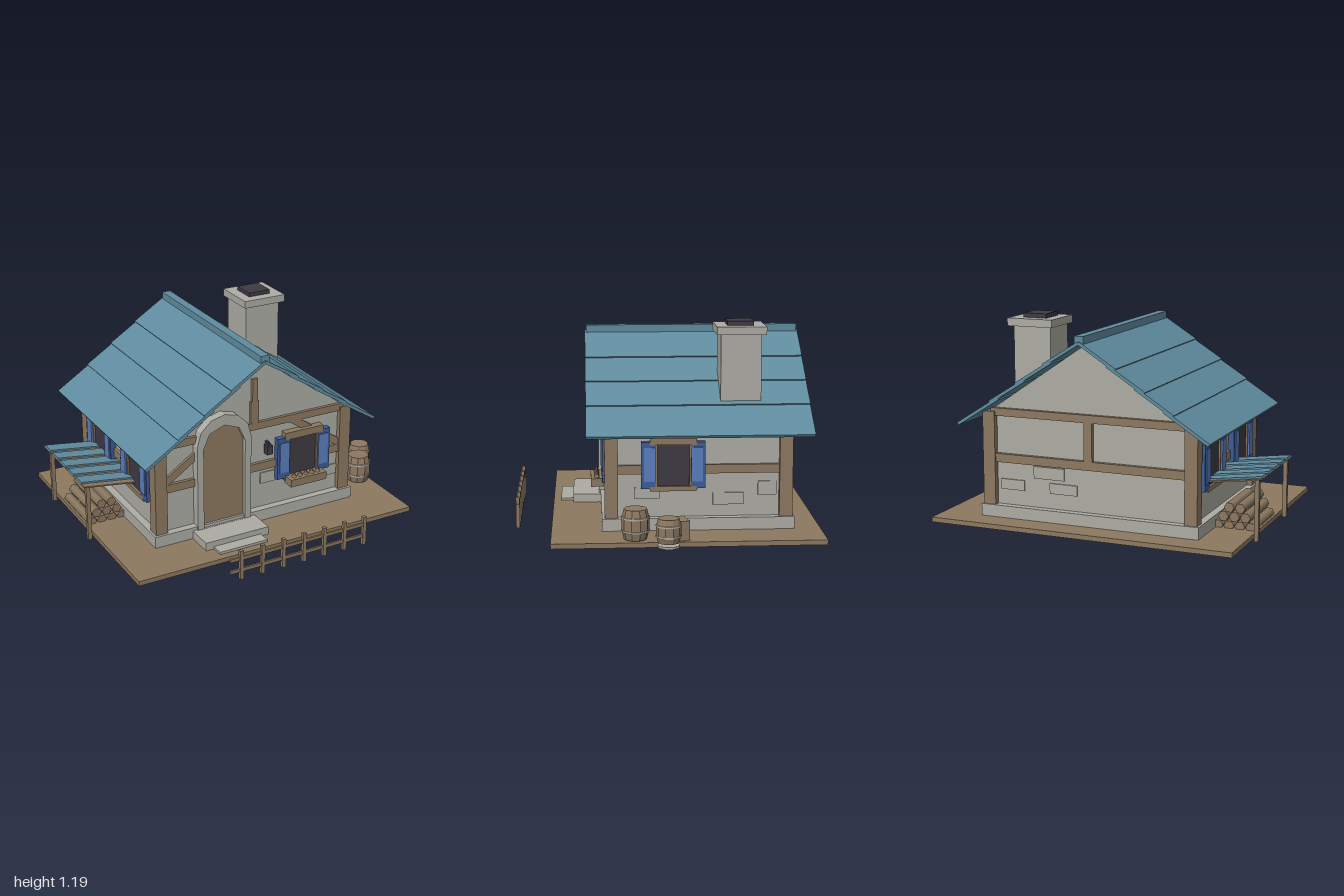
import * as THREE from 'three';

const mat = (name, color) => {
  const m = new THREE.MeshStandardMaterial({ color });
  m.name = name;
  return m;
};

export function createModel() {
  const wood = mat('wood', 0x8c7860), stone = mat('stone', 0xacaba3), tile = mat('roofBlue', 0x5f8b9e);
  const blue = mat('shutterBlue', 0x5a7dbd), navy = mat('shutterTrim', 0x3c5b97), dark = mat('darkGlass', 0x3d3a42);
  const model = new THREE.Group();
  model.name = 'cottage';
  const CX = -0.035, CZ = -0.175; // centre of the house

  const add = (name, geo, m, parent = model) => {
    const mesh = new THREE.Mesh(geo, m);
    mesh.name = name;
    parent.add(mesh);
    return mesh;
  };
  // box given by its limits on each axis
  const box = (name, m, x0, x1, y0, y1, z0, z1, parent) => {
    const b = add(name, new THREE.BoxGeometry(x1 - x0, y1 - y0, z1 - z0), m, parent);
    b.position.set((x0 + x1) / 2, (y0 + y1) / 2, (z0 + z1) / 2);
    return b;
  };
  // bar running between two points in the xy plane
  const bar = (name, m, x0, y0, x1, y1, thick, z0, z1, parent) => {
    const b = add(name, new THREE.BoxGeometry(Math.hypot(x1 - x0, y1 - y0), thick, z1 - z0), m, parent);
    b.position.set((x0 + x1) / 2, (y0 + y1) / 2, (z0 + z1) / 2);
    b.rotation.z = Math.atan2(y1 - y0, x1 - x0);
    return b;
  };
  const extrude = (shape, depth) => new THREE.ExtrudeGeometry(shape, { depth, bevelEnabled: false });

  // ground and foundation
  box('groundSlab', wood, -0.94, 0.875, 0.002, 0.03, -0.865, 0.655);
  box('foundation', stone, -0.70, 0.63, 0, 0.10, -0.715, 0.37);
  box('upperStep', stone, -0.46, -0.05, 0.03, 0.08, 0.36, 0.535);
  box('lowerStep', stone, -0.41, -0.10, 0.03, 0.045, 0.36, 0.61);

  // walls with gables
  const wallShape = new THREE.Shape([[-0.62, 0.08], [0.62, 0.08], [0.62, 0.645], [0, 1.07], [-0.62, 0.645]]
    .map(([x, y]) => new THREE.Vector2(x, y)));
  add('walls', extrude(wallShape, 0.995), stone).position.set(CX, 0, -0.67);

  // timber frame
  for (const x of [-0.687, 0.543]) for (const z of [-0.705, 0.28])
    box('cornerPost', wood, x, x + 0.075, 0.10, 0.645, z, z + 0.075);
  for (const [y0, y1] of [[0.35, 0.40], [0.62, 0.665]]) {
    for (const z of [-0.695, 0.315]) box('endBeam', wood, CX - 0.605, CX + 0.605, y0, y1, z, z + 0.03);
    for (const x of [-0.675, 0.575]) box('sideBeam', wood, x, x + 0.03, y0, Math.min(y1, 0.645), -0.64, 0.29);
  }
  box('kingPost', wood, -0.053, -0.018, 0.66, 0.94, 0.32, 0.345);
  box('kingPostFoot', wood, -0.062, -0.01, 0.66, 0.80, 0.32, 0.342);
  box('backStud', wood, -0.06, -0.01, 0.38, 0.64, -0.695, -0.66);
  for (const s of [-1, 1]) bar('brace', wood, CX + s * 0.59, 0.405, CX + s * 0.24, 0.64, 0.045, 0.32, 0.342);

  // raised stones in the walls
  for (const [x, y, w, h] of [[0.01, 0.255, 0.13, 0.07], [0.39, 0.2, 0.15, 0.065]])
    box('frontStone', stone, x, x + w, y, y + h, 0.32, 0.333);
  for (const [z, y, w, h] of [[0.045, 0.205, 0.145, 0.065], [-0.43, 0.167, 0.175, 0.068], [-0.615, 0.22, 0.105, 0.08]])
    box('sideStone', stone, 0.58, 0.593, y, y + h, z, z + w);
  for (const [x, y, w, h] of [[0.37, 0.19, 0.15, 0.06], [0.12, 0.27, 0.19, 0.07], [0.04, 0.19, 0.17, 0.06]])
    box('backStone', stone, x, x + w, y, y + h, -0.678, -0.66);

  // arched doorway
  const arch = (half, spring, top, n, bottom) => {
    const pts = [new THREE.Vector2(-half, bottom), new THREE.Vector2(half, bottom)];
    for (let i = 0; i <= n; i++) {
      const a = Math.PI * i / n;
      pts.push(new THREE.Vector2(half * Math.cos(a), spring + (top - spring) * Math.sin(a)));
    }
    return pts;
  };
  const doorFrame = new THREE.Shape(arch(0.175, 0.61, 0.78, 6, 0.08));
  doorFrame.holes.push(new THREE.Path(arch(0.135, 0.59, 0.715, 4, 0.081)));
  add('doorFrame', extrude(doorFrame, 0.07), stone).position.set(-0.255, 0, 0.31);
  add('door', extrude(new THREE.Shape(arch(0.136, 0.59, 0.717, 4, 0.08)), 0.045), wood).position.set(-0.255, 0, 0.31);

  // windows with shutters, facing +z before they are turned
  const makeWindow = (x, z, turn) => {
    const w = new THREE.Group();
    w.name = 'window';
    box('pane', dark, -0.09, 0.09, 0.28, 0.52, 0, 0.025, w);
    box('lintel', wood, -0.13, 0.13, 0.52, 0.565, 0, 0.045, w);
    box('sill', wood, -0.13, 0.13, 0.255, 0.282, 0, 0.04, w);
    for (const s of [-1, 1]) {
      const side = (name, m, a, b, y0, y1, z0, z1) =>
        box(name, m, Math.min(s * a, s * b), Math.max(s * a, s * b), y0, y1, z0, z1, w);
      side('jamb', wood, 0.09, 0.125, 0.27, 0.53, 0, 0.035);
      side('shutter', navy, 0.10, 0.18, 0.27, 0.535, 0.005, 0.04);
      side('shutterPanel', blue, 0.1, 0.165, 0.31, 0.505, 0.037, 0.046);
    }
    w.position.set(x, 0, z);
    w.rotation.y = turn;
    model.add(w);
  };
  makeWindow(0.287, 0.325, 0);
  makeWindow(0.585, -0.03, Math.PI / 2);
  for (const z of [-0.425, 0.075]) makeWindow(-0.655, z, -Math.PI / 2);

  // flower box
  box('flowerBox', wood, 0.165, 0.41, 0.235, 0.282, 0.355, 0.43);
  for (let i = 0; i < 5; i++)
    add('sprout', new THREE.ConeGeometry(0.018, 0.035, 5), wood).position.set(0.205 + i * 0.041, 0.298, 0.395);

  // wall lantern
  box('lantern', dark, 0.03, 0.07, 0.455, 0.51, 0.335, 0.375);
  box('lanternBracket', dark, 0.043, 0.057, 0.505, 0.528, 0.32, 0.36);

  // roof in overlapping courses
  const roofY = (o) => 1.083 - 0.682 * o;
  for (const s of [-1, 1]) for (const [a, b] of [[0, 0.215], [0.165, 0.385], [0.33, 0.55], [0.495, 0.753]])
    bar('roofCourse', tile, CX + s * a, roofY(a), CX + s * b, roofY(b) + 0.012, 0.018, -0.813, 0.457);
  box('ridgeCap', tile, CX - 0.027, CX + 0.027, 1.07, 1.12, -0.805, 0.45);

  // chimney
  box('chimney', stone, 0.265, 0.495, 0.70, 1.125, -0.535, -0.305);
  box('chimneyCap', stone, 0.245, 0.525, 1.12, 1.165, -0.56, -0.28);
  box('flue', dark, 0.31, 0.455, 1.16, 1.19, -0.495, -0.345);

  // lean-to with firewood
  bar('leanToBoards', wood, -1, 0.36, -0.65, 0.312, 0.008, -0.56, -0.065 + 0.135);
  for (let i = 0; i < 5; i++) {
    const z = -0.54 + i * 0.098 * 1.23;
    bar('leanToTile', tile, -0.999, 0.368, -0.65, 0.32, 0.012, z, z + 0.085);
  }
  for (const z of [-0.53, 0.02]) box('leanToPost', wood, -0.98, -0.955, 0, 0.35, z, z + 0.025);
  for (let row = 0; row < 3; row++) for (let i = 0; i < 4 - row; i++) {
    const log = add('log', new THREE.CylinderGeometry(0.03, 0.03, 0.36, 6), wood);
    log.rotation.set(Math.PI / 2, Math.PI / 6, 0);
    log.position.set(-0.905 + row * 0.032 + i * 0.064, 0.045 + row * 0.052, -0.25);
  }

  // fence
  for (const y of [0.047, 0.12]) box('fenceRail', wood, -0.475, 0.42, y, y + 0.02, 0.844, 0.856);
  for (let i = -3; i <= 3; i++) box('fencePost', wood, i * 0.135 - 0.011, i * 0.135 + 0.011, 0, 0.18, 0.839, 0.861);

  // barrels and crate
  const makeBarrel = (x, z, y0, h, r) => {
    const g = new THREE.Group();
    g.name = 'barrel';
    const profile = [[0, 0], [0.8, 0], [0.97, 0.33], [0.97, 0.67], [0.8, 1], [0, 1]];
    const body = new THREE.LatheGeometry(profile.map(([a, b]) => new THREE.Vector2(a * r, b * h)), 10).toNonIndexed();
    body.computeVertexNormals();
    add('barrelBody', body, wood, g);
    for (const t of [0.28, 0.72])
      add('hoop', new THREE.CylinderGeometry(r, r, 0.01, 10), stone, g).position.y = t * h;
    g.position.set(x, y0, z);
    model.add(g);
  };
  makeBarrel(0.802, 0.19, 0.035, 0.17, 0.08);
  makeBarrel(0.925, 0.015, 0.045, 0.135, 0.072);
  add('barrelStand', new THREE.CylinderGeometry(0.062, 0.062, 0.012, 10), stone).position.set(0.925, 0.026, 0.015);
  const crate = box('crate', wood, 0.738, 0.858, 0.03, 0.14, -0.095, 0.025);
  crate.rotation.y = 0.25;

  return model;
}
